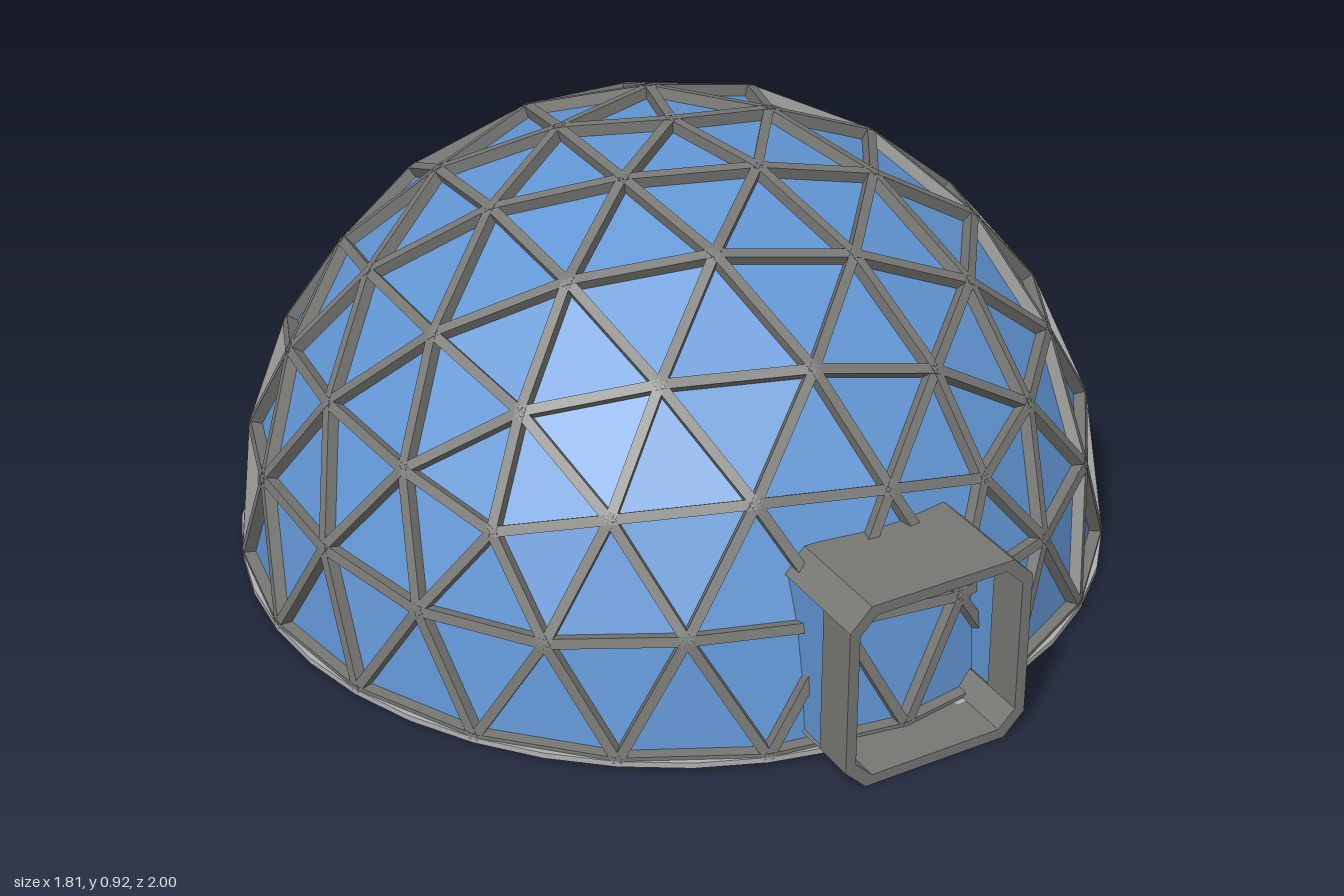
import * as THREE from 'three';
import { mergeGeometries } from 'three/addons/utils/BufferGeometryUtils.js';

const R = 0.905;       // outer radius of the strut frame
const BASE = 0.02;     // height of the dome's equator
const FREQ = 4;        // subdivisions per icosahedron edge
const STRUT_W = 0.02, STRUT_D = 0.034;
const PANEL_R = R * 0.974;

const frameMat = new THREE.MeshStandardMaterial({ color: 0x777774, flatShading: true });
const floorMat = new THREE.MeshStandardMaterial({ color: 0xb0b0b0, flatShading: true });
const glassMat = new THREE.MeshStandardMaterial({ color: 0x6296d4, flatShading: true, side: THREE.DoubleSide });

function mesh(name, geometry, material) {
  const m = new THREE.Mesh(geometry, material);
  m.name = name;
  return m;
}

// Unit-sphere triangles of the upper half of a subdivided icosahedron
function domeTriangles() {
  const lat = Math.atan(0.5);
  const ring = (k, sign, shift) => {
    const a = (k + shift) * Math.PI * 2 / 5;
    return new THREE.Vector3(Math.cos(lat) * Math.cos(a), sign * Math.sin(lat), Math.cos(lat) * Math.sin(a));
  };
  const top = new THREE.Vector3(0, 1, 0);
  const tris = [];
  for (let k = 0; k < 5; k++) {
    const u0 = ring(k, 1, 0), u1 = ring(k + 1, 1, 0);
    const d0 = ring(k, -1, 0.5), d1 = ring(k - 1, -1, 0.5);
    for (const [A, B, C] of [[top, u0, u1], [u0, u1, d0], [d1, d0, u0]]) {
      const p = (i, j) => new THREE.Vector3()
        .addScaledVector(A, FREQ - i - j).addScaledVector(B, i).addScaledVector(C, j).normalize();
      for (let i = 0; i < FREQ; i++) {
        for (let j = 0; j < FREQ - i; j++) {
          tris.push([p(i, j), p(i + 1, j), p(i, j + 1)]);
          if (i + j < FREQ - 1) tris.push([p(i + 1, j), p(i + 1, j + 1), p(i, j + 1)]);
        }
      }
    }
  }
  const upper = tris.filter(t => t.every(v => v.y > -0.001));
  // Wind every triangle outward
  for (const t of upper) {
    const n = t[1].clone().sub(t[0]).cross(t[2].clone().sub(t[0]));
    if (n.dot(t[0]) < 0) t.reverse();
  }
  return upper;
}

function panelGeometry(tris) {
  const pts = tris.flat().map(v => v.clone().multiplyScalar(PANEL_R));
  const g = new THREE.BufferGeometry().setFromPoints(pts);
  g.computeVertexNormals();
  return g;
}

// Upright plate along one edge, its outer face on the sphere chord
function strutGeometry(a, b) {
  const along = b.clone().sub(a);
  const length = along.length() * R;
  along.normalize();
  const out = a.clone().add(b).normalize();
  const side = out.clone().cross(along);
  const centre = a.clone().add(b).multiplyScalar(R / 2).addScaledVector(out, -STRUT_D / 2);
  const basis = new THREE.Matrix4().makeBasis(side, out, along).setPosition(centre);
  return new THREE.BoxGeometry(STRUT_W, STRUT_D, length).applyMatrix4(basis);
}

function strutsGeometry(tris) {
  const seen = new Set(), parts = [];
  const key = v => [v.x, v.y, v.z].map(n => Math.round(n * 1000) + 0).join();
  for (const t of tris) {
    for (let i = 0; i < 3; i++) {
      const a = t[i], b = t[(i + 1) % 3];
      const id = [key(a), key(b)].sort().join('|');
      if (seen.has(id)) continue;
      seen.add(id);
      parts.push(strutGeometry(a, b));
    }
  }
  return mergeGeometries(parts);
}

// Chamfered square outline centred on x = 0, from y = inset to y = 0.4 - inset
function octagon(inset) {
  const w = 0.2 - inset, lo = inset, hi = 0.4 - inset, c = 0.045 - inset * 0.4;
  return [
    [-w + c, lo], [w - c, lo], [w, lo + c], [w, hi - c],
    [w - c, hi], [-w + c, hi], [-w, hi - c], [-w, lo + c],
  ].map(([x, y]) => new THREE.Vector2(x, y));
}

const outer = octagon(0), inner = octagon(0.022);

function extrude(shape, z0, z1) {
  const g = new THREE.ExtrudeGeometry(shape, { depth: z1 - z0, bevelEnabled: false });
  return g.translate(0, 0, z0);
}

// Part of the tunnel wall through the listed octagon corners
function wall(corners, z0, z1) {
  const back = [...corners].reverse();
  return extrude(new THREE.Shape([...corners.map(i => outer[i]), ...back.map(i => inner[i])]), z0, z1);
}
const FLOOR = [7, 0, 1, 2], ROOF = [3, 4, 5, 6];

// Entrance tunnel: portal ring, roof, floor and glazed sides
function createEntrance() {
  const group = new THREE.Group();
  const ring = new THREE.Shape(outer);
  ring.holes.push(new THREE.Path(inner));
  group.add(mesh('portalRing', extrude(ring, 0.91, 1), frameMat));
  group.add(mesh('tunnelRoof', wall(ROOF, 0.77, 0.91), frameMat));
  group.add(mesh('tunnelFloor', wall(FLOOR, 0.73, 0.91), frameMat));

  for (const s of [-1, 1]) {
    const pane = mesh('sidePane', new THREE.BoxGeometry(0.012, 0.32, 0.15), glassMat);
    pane.position.set(s * 0.189, 0.2, 0.84);
    group.add(pane);
  }
  return group;
}

export function createModel() {
  const model = new THREE.Group();
  model.name = 'geodesicDome';

  // Dome shell
  const tris = domeTriangles();
  const dome = new THREE.Group();
  dome.name = 'dome';
  dome.position.y = BASE;
  dome.add(mesh('glassPanels', panelGeometry(tris), glassMat));
  dome.add(mesh('struts', strutsGeometry(tris), frameMat));
  model.add(dome);

  // Floor disc, just covering the undersides of the lowest struts
  const floor = mesh('floorDisc', new THREE.CylinderGeometry(R, R, 0.012, 40), floorMat);
  floor.position.y = 0.016;
  model.add(floor);

  // Crossed walkway floors showing under the centre, and the two entrances
  for (let i = 0; i < 2; i++) {
    const walkway = mesh('centreWalkway', wall(FLOOR, -0.27, 0.27), frameMat);
    walkway.rotation.y = i * Math.PI / 2;
    model.add(walkway);

    const entrance = createEntrance();
    entrance.name = ['frontEntrance', 'backEntrance'][i];
    entrance.rotation.y = i * Math.PI;
    model.add(entrance);
  }

  return model;
}
